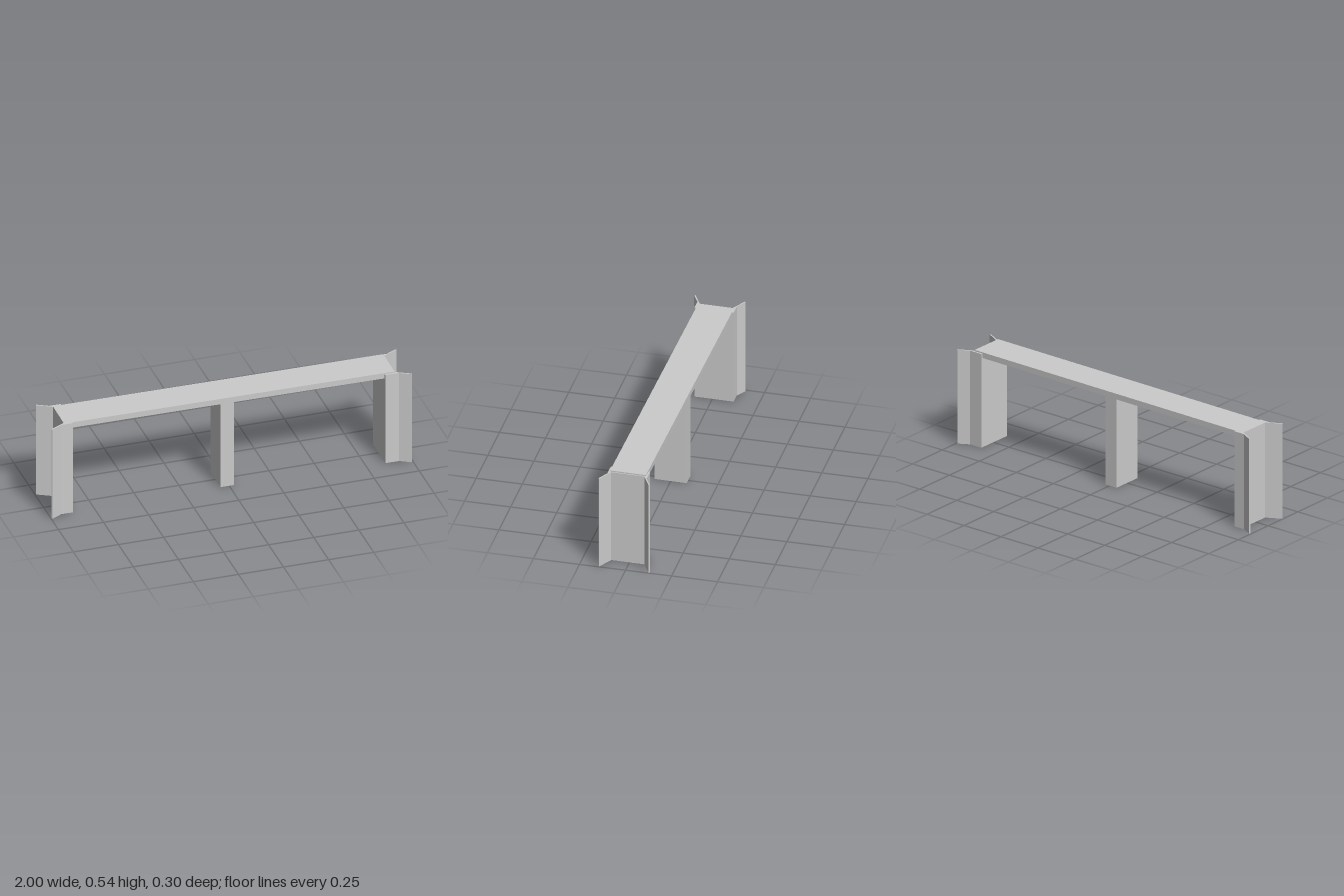
import * as THREE from 'three';

const material = new THREE.MeshStandardMaterial({ color: 0xcccccc, flatShading: true });

function addBox(parent, name, x0, x1, y0, y1, halfDepth) {
  const mesh = new THREE.Mesh(new THREE.BoxGeometry(x1 - x0, y1 - y0, halfDepth * 2), material);
  mesh.name = name;
  mesh.position.set((x0 + x1) / 2, (y0 + y1) / 2, 0);
  parent.add(mesh);
}

// End wall with two flared wing walls, extruded upward from its plan outline
function addAbutment(parent, name, side, inner, height) {
  const half = [[inner, 0.107], [0.933, 0.107], [0.992, 0.14], [0.997, 0.134], [0.915, 0.09]];
  const outline = [...half, ...half.map(([x, z]) => [x, -z]).reverse()];
  const shape = new THREE.Shape(outline.map(([x, z]) => new THREE.Vector2(side * x, z)));
  const geometry = new THREE.ExtrudeGeometry(shape, { depth: height, bevelEnabled: false });
  geometry.rotateX(-Math.PI / 2);
  const mesh = new THREE.Mesh(geometry, material);
  mesh.name = name;
  parent.add(mesh);
}

export function createModel() {
  const model = new THREE.Group();
  model.name = 'bridge';

  // The whole bridge sits slightly turned in plan
  const bridge = new THREE.Group();
  bridge.name = 'bridgeStructure';
  bridge.rotation.y = -0.01;
  model.add(bridge);

  // Deck butts against one abutment and rests on the other
  addBox(bridge, 'deck', -0.868, 0.91, 0.508, 0.54, 0.0975);
  addBox(bridge, 'centrePier', -0.047, 0.028, 0, 0.51, 0.087);
  addAbutment(bridge, 'rightAbutment', -1, 0.868, 0.54);
  addAbutment(bridge, 'leftAbutment', 1, 0.857, 0.533);

  return model;
}
